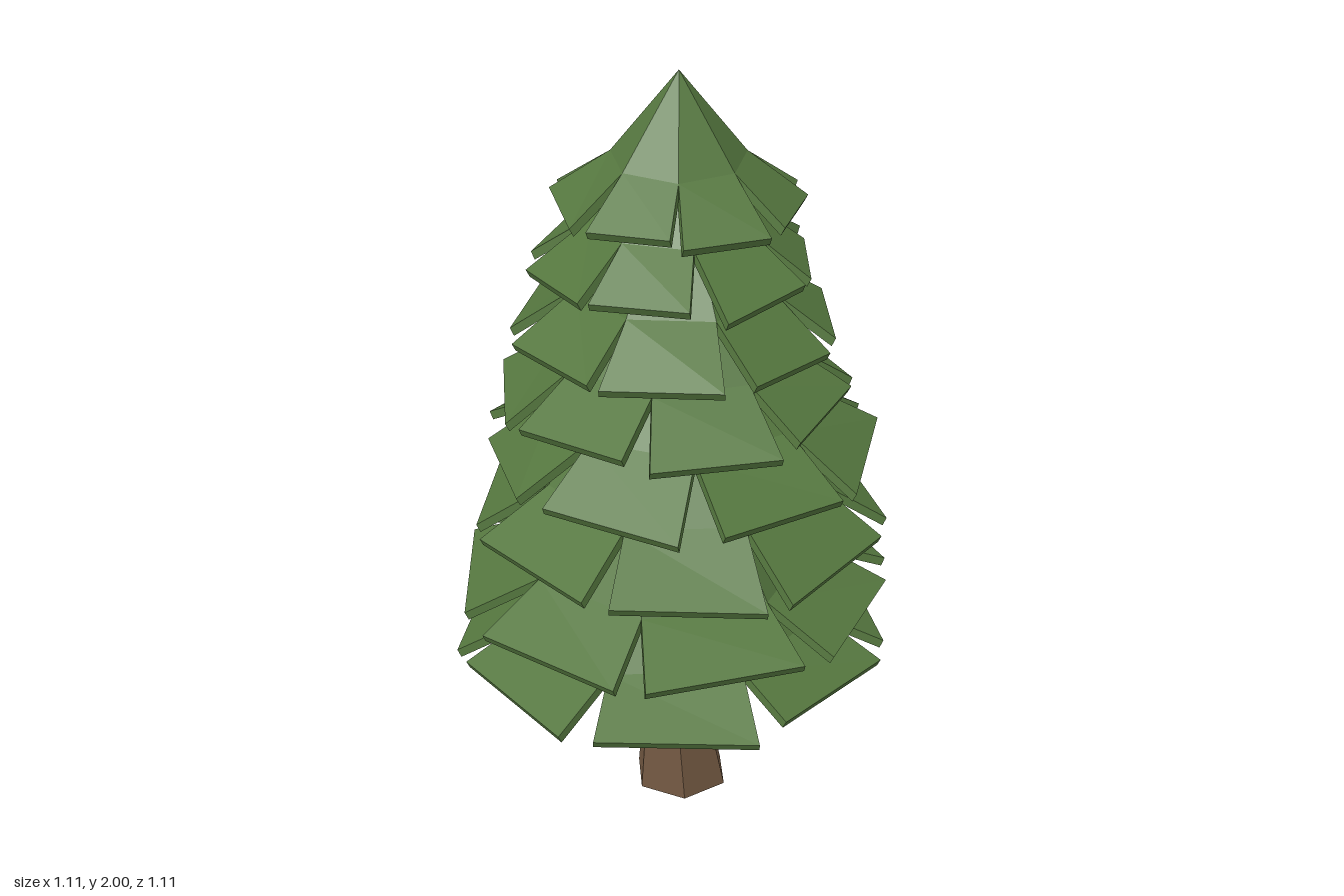
import * as THREE from 'three';

const SIDES = 7;
const HALF = Math.PI / SIDES;

// Small seeded generator, returns -1..1
function seeded(seed) {
  let s = seed;
  return () => {
    s = (s * 16807) % 2147483647;
    return (s / 2147483647) * 2 - 1;
  };
}

// Slab hinged on the inner ring edge, x pointing outward, with uneven outer corners
function boughGeometry(inR, inY, outR, outY, yaw, roll) {
  const geo = new THREE.BoxGeometry(1, 1, 1);
  const p = geo.attributes.position;
  const inW = inR * Math.tan(HALF);
  const outW = outR * Math.tan(HALF) * 0.8;
  for (let i = 0; i < p.count; i++) {
    const outer = p.getX(i) > 0;
    const side = Math.sign(p.getZ(i));
    const drop = p.getY(i) > 0 ? 0 : 0.02;
    if (outer) p.setXYZ(i, outR - side * yaw - drop * 0.5, outY + side * roll - drop, side * outW + yaw);
    else p.setXYZ(i, inR - drop * 0.5, inY - drop, side * inW);
  }
  geo.computeVertexNormals();
  return geo;
}

export function createModel() {
  const tree = new THREE.Group();
  tree.name = 'pineTree';
  const green = new THREE.MeshStandardMaterial({ color: 0x55773f, flatShading: true, side: THREE.DoubleSide });
  const brown = new THREE.MeshStandardMaterial({ color: 0x745a43, flatShading: true, side: THREE.DoubleSide });
  const rand = seeded(4217);

  // Bent six-sided open trunk: [x, y, z, radius] per ring, bottom first
  const rings = [
    [0.016, 0, -0.03, 0.126],
    [0.012, 0.22, -0.005, 0.093],
    [0.03, 0.52, -0.033, 0.083],
    [0.02, 1.1, 0, 0.05],
  ];
  const trunkGeo = new THREE.CylinderGeometry(1, 1, 1, 6, rings.length - 1, true, Math.PI / 2);
  const tp = trunkGeo.attributes.position;
  for (let i = 0; i < tp.count; i++) {
    const [x, y, z, r] = rings[Math.round((tp.getY(i) + 0.5) * (rings.length - 1))];
    tp.setXYZ(i, x + tp.getX(i) * r, y, z + tp.getZ(i) * r);
  }
  trunkGeo.computeVertexNormals();
  const trunk = new THREE.Mesh(trunkGeo, brown);
  trunk.name = 'trunk';
  tree.add(trunk);

  // Tiers from the top: [x, z, ring y, ring radius, tip y, tip radius, angle of one bough]
  const tiers = [
    [0.02, 0, 1.785, 0.15, 1.685, 0.285, 90],
    [0.01, -0.008, 1.625, 0.18, 1.52, 0.325, 78],
    [0.01, -0.012, 1.455, 0.22, 1.345, 0.375, 119],
    [0.005, 0, 1.285, 0.25, 1.18, 0.41, 100],
    [0.02, -0.018, 1.13, 0.28, 1.02, 0.455, 84],
    [0.01, -0.03, 0.93, 0.305, 0.815, 0.49, 113],
    [0, 0, 0.72, 0.33, 0.635, 0.51, 101],
    [0, 0, 0.555, 0.345, 0.475, 0.515, 62],
  ];
  tiers.forEach(([x, z, ringY, ringR, tipY, tipR, degrees], t) => {
    const tier = new THREE.Group();
    tier.name = `tier${t + 1}`;
    tier.position.set(x, 0, z);
    const start = THREE.MathUtils.degToRad(degrees);

    // Open core: a cone at the top, frustums below
    const topY = t === 0 ? 2 : ringY + 0.24;
    const topR = t === 0 ? 0 : Math.max(0.03, ringR - 0.15);
    const h = topY - ringY;
    const coreGeo = new THREE.CylinderGeometry(
      topR / Math.cos(HALF), ringR / Math.cos(HALF), h, SIDES, 1, true, Math.PI / 2 - start + HALF);
    const core = new THREE.Mesh(coreGeo, green);
    core.position.y = ringY + h / 2;
    core.name = 'foliageCore';
    tier.add(core);

    // One drooping bough on each side of the core
    for (let i = 0; i < SIDES; i++) {
      const geo = boughGeometry(
        ringR, ringY,
        tipR + rand() * 0.01, tipY + rand() * 0.012,
        rand() * 0.015, rand() * 0.012);
      const bough = new THREE.Mesh(geo, green);
      bough.rotation.y = -(start + i * 2 * HALF);
      bough.name = 'bough';
      tier.add(bough);
    }
    tree.add(tier);
  });

  return tree;
}
